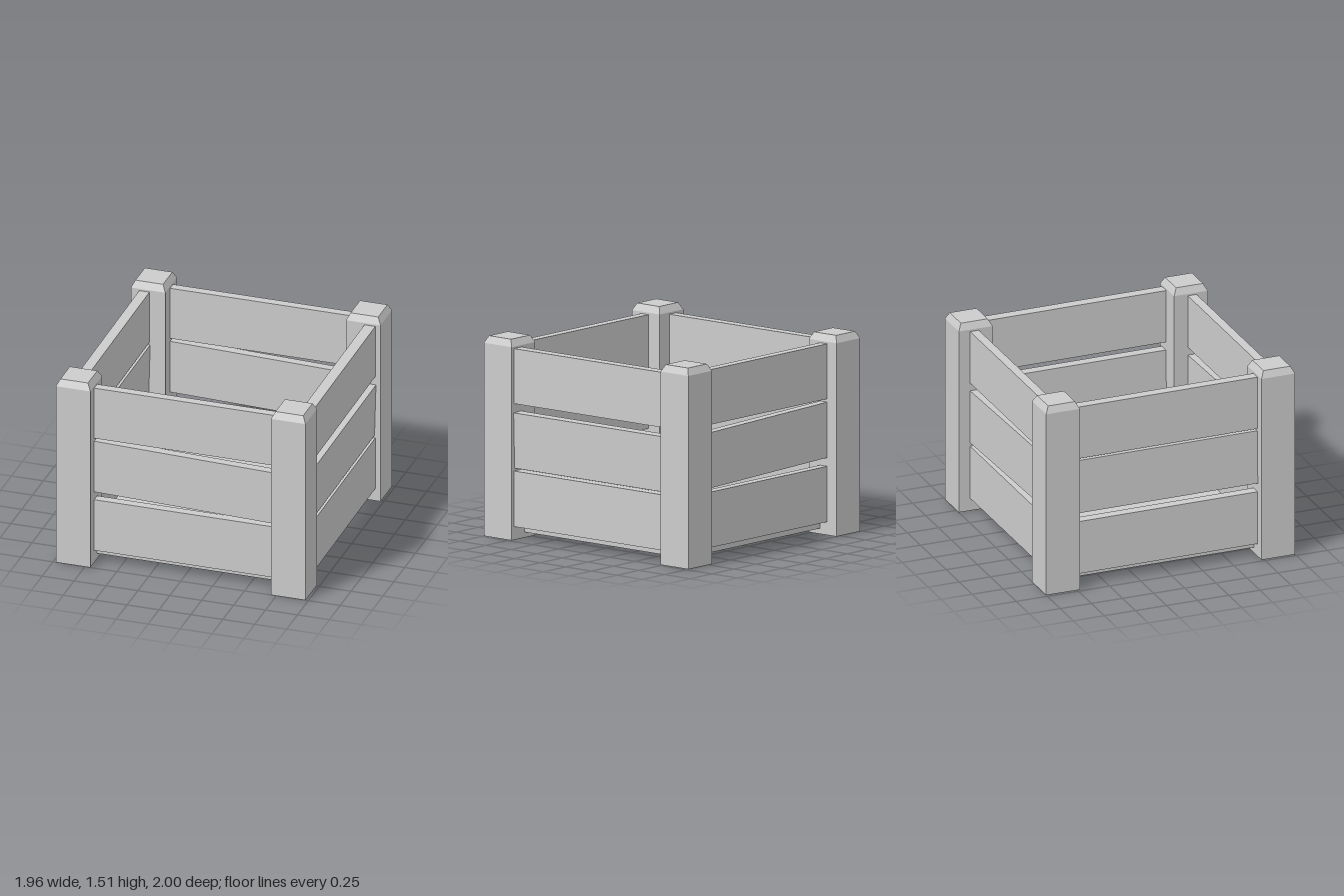
import * as THREE from 'three';

const material = new THREE.MeshStandardMaterial({ color: 0xcccccc, flatShading: true });

function box(name, w, h, d, x, y, z) {
  const mesh = new THREE.Mesh(new THREE.BoxGeometry(w, h, d), material);
  mesh.name = name;
  mesh.position.set(x, y, z);
  return mesh;
}

// Square post whose top edge is chamfered: the top ring of vertices is pulled inward
function post(name, x, z) {
  const size = 0.27, shoulder = 1.46, top = 1.513, inset = 0.027;
  const geometry = new THREE.BoxGeometry(size, top, size, 1, 2, 1);
  geometry.translate(0, top / 2, 0);
  const p = geometry.attributes.position;
  const k = 1 - (2 * inset) / size;
  for (let i = 0; i < p.count; i++) {
    const y = p.getY(i);
    if (y > top - 0.01) p.setXYZ(i, p.getX(i) * k, y, p.getZ(i) * k);
    else if (y > 0.01) p.setY(i, shoulder);
  }
  geometry.computeVertexNormals();
  const mesh = new THREE.Mesh(geometry, material);
  mesh.name = name;
  mesh.position.set(x, 0, z);
  return mesh;
}

// One ring of four planks, centred on its own origin
function plankRing(name, y, height, tilt) {
  const ring = new THREE.Group();
  ring.name = name;
  ring.position.y = y;
  ring.rotation.z = tilt;
  ring.add(box('frontPlank', 1.6, height, 0.07, 0, 0, 0.875));
  ring.add(box('backPlank', 1.6, height, 0.07, 0, 0, -0.875));
  // Side planks sit slightly askew
  const left = box('leftPlank', 0.085, height, 1.6, 0.9, 0, 0);
  const right = box('rightPlank', 0.08, height, 1.6, -0.867, 0, 0);
  left.rotation.y = right.rotation.y = 0.007;
  ring.add(left, right);
  return ring;
}

export function createModel() {
  const crate = new THREE.Group();
  crate.name = 'planterBox';

  // Corner posts
  for (const sx of [-1, 1])
    for (const sz of [-1, 1])
      crate.add(post((sz > 0 ? 'front' : 'back') + (sx > 0 ? 'Left' : 'Right') + 'Post', sx * 0.843, sz * 0.865));

  // Three plank rings, the middle one hanging crooked
  crate.add(plankRing('lowerPlanks', 0.31, 0.42, 0));
  crate.add(plankRing('middlePlanks', 0.776, 0.42, -0.0268));
  crate.add(plankRing('upperPlanks', 1.237, 0.416, 0));

  // Floor board
  crate.add(box('floor', 1.66, 0.065, 1.68, 0, 0.0745, 0));
  return crate;
}
